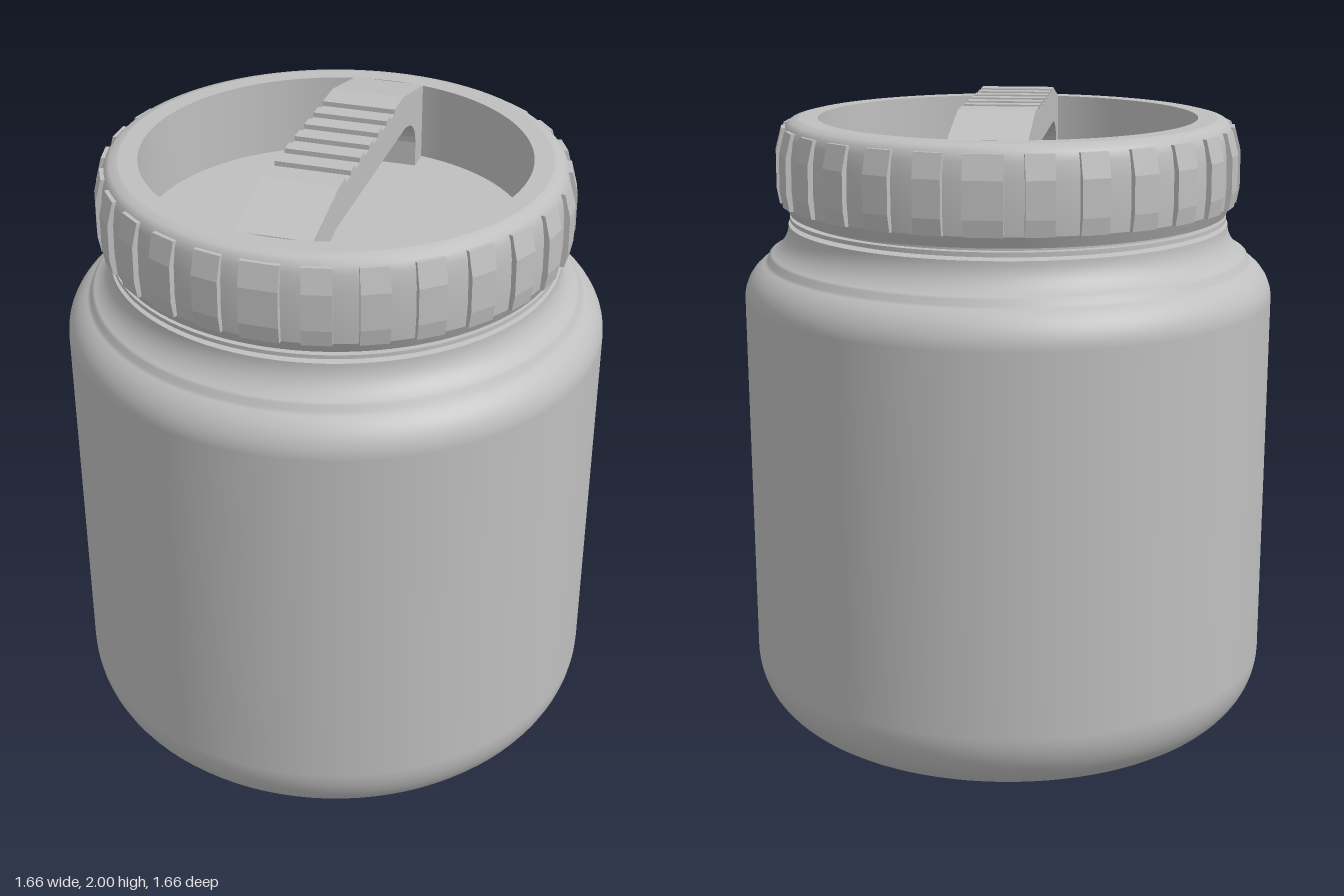
import * as THREE from 'three';
import { mergeGeometries } from 'three/addons/utils/BufferGeometryUtils.js';

const V = (x, y) => new THREE.Vector2(x, y);

// Lathe made of several smooth runs with sharp edges between them
function lathe(runs, sides = 96) {
  return mergeGeometries(runs.map(run => new THREE.LatheGeometry(run, sides)));
}

const line = (...p) => p.map(([x, y]) => V(x, y));

// Profile points along an elliptical arc
function arc(cx, cy, rx, ry, a0, a1, n = 12) {
  return Array.from({ length: n + 1 }, (_, i) => {
    const a = (a0 + (a1 - a0) * i / n) * Math.PI / 180;
    return V(cx + rx * Math.cos(a), cy + ry * Math.sin(a));
  });
}

export function createModel() {
  const group = new THREE.Group();
  const plastic = new THREE.MeshStandardMaterial({ color: 0xbfbfbf });
  plastic.name = 'grey plastic';
  const add = (name, geometry, parent = group) => {
    const mesh = new THREE.Mesh(geometry, plastic);
    mesh.name = name;
    parent.add(mesh);
    return mesh;
  };

  // Jar body: flat base, rounded foot, straight wall, S-shaped shoulder
  add('jarBody', lathe([
    line([0, 0], [0.62, 0]),
    [...arc(0.62, 0.22, 0.212, 0.22, -90, 0), V(0.832, 0.6), V(0.832, 1.0),
      ...arc(0.692, 1.39, 0.14, 0.13, 0, 62),
      ...arc(0.81, 1.62, 0.12, 0.11, 242, 180)],
    line([0.69, 1.62], [0.66, 1.625]),
  ]));

  // Neck and tamper ring
  add('neck', lathe([
    line([0.66, 1.6], [0.66, 1.68]),
    line([0.66, 1.632], [0.685, 1.632]),
    line([0.685, 1.632], [0.685, 1.644]),
    line([0.685, 1.644], [0.66, 1.644]),
  ]));

  // Lid with a round recess in the top
  const lid = new THREE.Group();
  lid.name = 'lid';
  group.add(lid);
  add('lidShell', lathe([
    line([0.6, 1.655], [0.685, 1.655]),
    line([0.685, 1.655], [0.703, 1.69]),
    [V(0.703, 1.69), V(0.708, 1.76), V(0.706, 1.85), V(0.699, 1.9),
      V(0.69, 1.925), V(0.675, 1.939), V(0.65, 1.945)],
    line([0.65, 1.945], [0.59, 1.945]),
    line([0.59, 1.945], [0.59, 1.7]),
    line([0.59, 1.7], [0, 1.7]),
  ]), lid);

  // Grip ribs around the lid
  const ribShape = new THREE.Shape(line(
    [0.66, 1.69], [0.714, 1.69], [0.723, 1.74], [0.722, 1.85], [0.703, 1.922], [0.66, 1.922]));
  const ribGeometry = width => new THREE.ExtrudeGeometry(ribShape,
    { depth: width, bevelEnabled: false }).translate(0, 0, -width / 2);
  const narrow = ribGeometry(0.085), wide = ribGeometry(0.115);
  const ribCount = 28;
  for (let i = 0; i < ribCount; i++) {
    const rib = add('gripRib', i % 14 === 7 ? wide : narrow, lid);
    rib.rotation.y = i * 2 * Math.PI / ribCount;
  }

  // Carrying bar across the recess, grooved on top and arched below
  const bar = new THREE.Shape();
  bar.moveTo(-0.585, 1.69);
  bar.lineTo(-0.5, 1.69);
  bar.lineTo(-0.5, 1.78);
  bar.quadraticCurveTo(-0.49, 1.87, -0.36, 1.885);
  bar.lineTo(0.36, 1.885);
  bar.quadraticCurveTo(0.49, 1.87, 0.5, 1.78);
  bar.lineTo(0.5, 1.69);
  bar.lineTo(0.585, 1.69);
  bar.lineTo(0.585, 1.945);
  bar.lineTo(0.34, 2);
  const pitch = 0.51 / 11;
  for (let i = 0; i < 6; i++) {
    const z = 0.275 - 2 * i * pitch;
    bar.lineTo(z, 2);
    bar.lineTo(z, 1.985);
    bar.lineTo(z - pitch, 1.985);
    bar.lineTo(z - pitch, 2);
  }
  bar.lineTo(-0.34, 2);
  bar.lineTo(-0.585, 1.945);
  const barGeometry = new THREE.ExtrudeGeometry(bar, { depth: 0.23, bevelEnabled: false, curveSegments: 8 });
  add('lidHandle', barGeometry.translate(0, 0, -0.115).rotateY(-Math.PI / 2), lid);

  return group;
}
